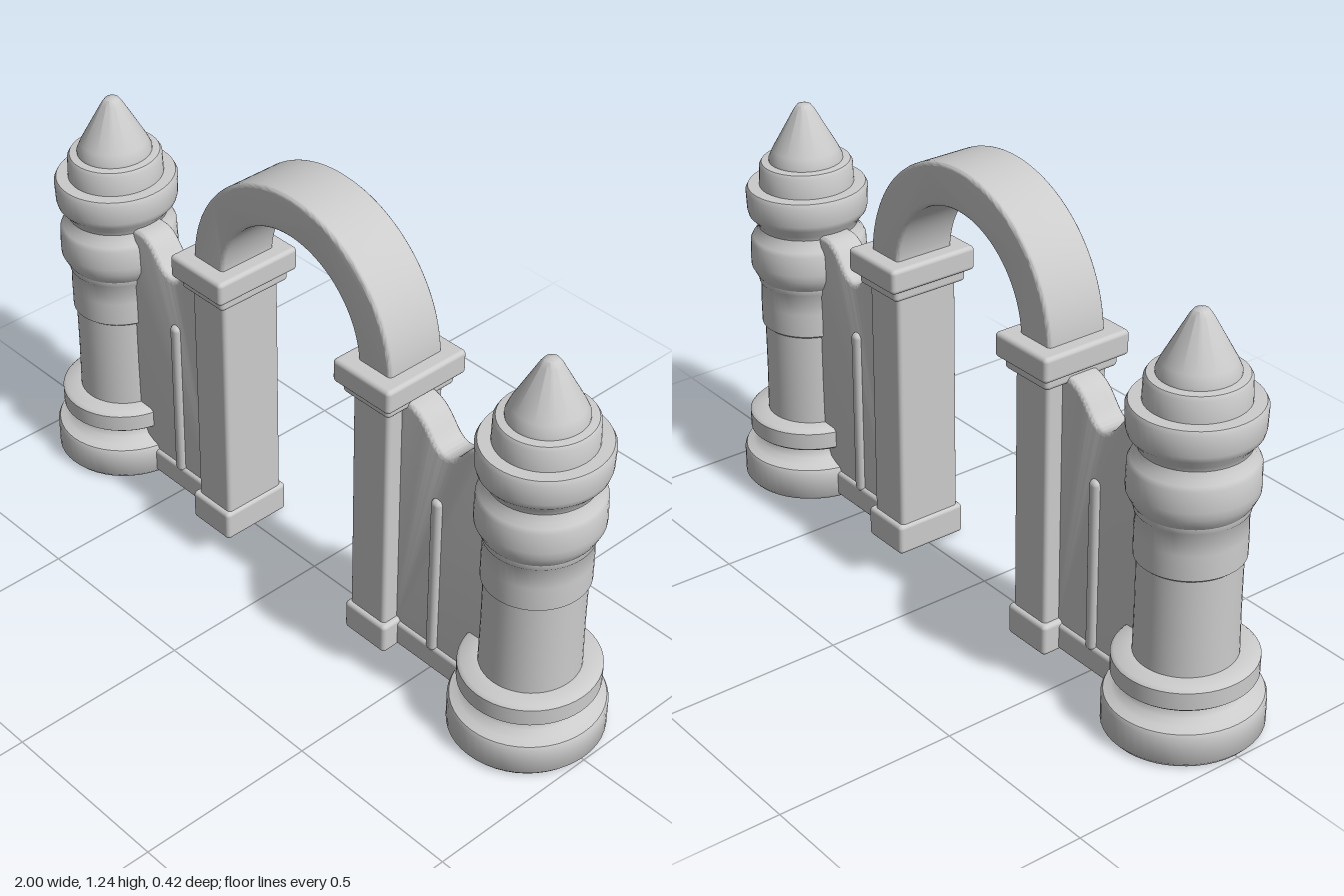
import * as THREE from 'three';
import { toCreasedNormals } from 'three/addons/utils/BufferGeometryUtils.js';
import { RoundedBoxGeometry } from 'three/addons/geometries/RoundedBoxGeometry.js';

const stone = new THREE.MeshStandardMaterial({ color: 0xcccccc, roughness: 0.9 });

function add(parent, name, geometry, x = 0, y = 0, z = 0) {
  const mesh = new THREE.Mesh(geometry, stone);
  mesh.name = name;
  mesh.position.set(x, y, z);
  parent.add(mesh);
  return mesh;
}

// Rounded block given by its centre x, bottom, top, width and depth
function block(parent, name, x, y0, y1, width, depth, radius = 0.012) {
  return add(parent, name, new RoundedBoxGeometry(width, y1 - y0, depth, 3, radius), x, (y0 + y1) / 2);
}

// Extrusion centred on z, with softened edges inside the given outline
function slab(shape, depth, bevel) {
  const geometry = new THREE.ExtrudeGeometry(shape, {
    depth: depth - 2 * bevel, bevelEnabled: true, bevelThickness: bevel,
    bevelSize: bevel, bevelOffset: -bevel, bevelSegments: 3, curveSegments: 40,
  });
  geometry.translate(0, 0, bevel - depth / 2);
  return toCreasedNormals(geometry, 0.6);
}

// Turned sections of a tower: [radius, height] from bottom to top
const towerSections = {
  towerBase: [[0, 0], [0.19, 0], [0.2, 0.012], [0.2, 0.085], [0.195, 0.096], [0.175, 0.103],
    [0.155, 0.115], [0.146, 0.135], [0.146, 0.15]],
  towerBaseRing: [[0.14, 0.15], [0.172, 0.15], [0.18, 0.157], [0.18, 0.205], [0.172, 0.213], [0.125, 0.215]],
  towerShaft: [[0.129, 0.21], [0.127, 0.35], [0.127, 0.485], [0.135, 0.492], [0.135, 0.56],
    [0.133, 0.615], [0.138, 0.622], [0.138, 0.64]],
  towerLowerCollar: [[0.138, 0.635], [0.145, 0.645], [0.157, 0.67], [0.158, 0.69], [0.156, 0.745],
    [0.15, 0.757], [0.14, 0.768], [0.133, 0.79]],
  towerUpperCollar: [[0.133, 0.785], [0.137, 0.8], [0.158, 0.825], [0.162, 0.84], [0.164, 0.895],
    [0.158, 0.907], [0.12, 0.908]],
  towerCrown: [[0.127, 0.9], [0.125, 0.965], [0.119, 0.975], [0.095, 0.978]],
  towerSpire: [[0.099, 0.97], [0.099, 0.985], [0.088, 1.01], [0.028, 1.122], [0.018, 1.136], [0, 1.14]],
};

function buildTower() {
  const tower = new THREE.Group();
  tower.name = 'tower';
  for (const [name, profile] of Object.entries(towerSections)) {
    const points = profile.map(([r, y]) => new THREE.Vector2(r, y));
    add(tower, name, toCreasedNormals(new THREE.LatheGeometry(points, 48), 0.75));
  }
  tower.position.x = 0.8;
  tower.scale.z = 1.05;
  return tower;
}

function buildPillar() {
  const pillar = new THREE.Group();
  pillar.name = 'gatePillar';
  block(pillar, 'pillarFoot', 0.311, 0.005, 0.095, 0.15, 0.215);
  block(pillar, 'pillarShaft', 0.308, 0.05, 0.82, 0.128, 0.19);
  block(pillar, 'pillarNeck', 0.309, 0.785, 0.84, 0.165, 0.23);
  block(pillar, 'pillarCap', 0.311, 0.818, 0.887, 0.2, 0.27);
  return pillar;
}

function buildWall() {
  const wall = new THREE.Group();
  wall.name = 'sideWall';
  // Panel whose top dips between tower and pillar
  const outline = new THREE.Shape();
  outline.moveTo(0.34, 0.01);
  outline.lineTo(0.75, 0.01);
  outline.lineTo(0.75, 0.8);
  outline.lineTo(0.65, 0.8);
  outline.bezierCurveTo(0.58, 0.795, 0.58, 0.715, 0.52, 0.712);
  outline.bezierCurveTo(0.47, 0.715, 0.47, 0.79, 0.39, 0.805);
  outline.lineTo(0.34, 0.805);
  add(wall, 'wallPanel', slab(outline, 0.095, 0.012));
  block(wall, 'wallPlinth', 0.52, 0.008, 0.085, 0.36, 0.115);
  // Upright rib showing on both faces
  block(wall, 'wallRib', 0.505, 0.07, 0.57, 0.034, 0.125, 0.015);
  return wall;
}

export function createModel() {
  const model = new THREE.Group();
  model.name = 'archedGateway';

  // The right side is the left side turned half way round
  for (const angle of [0, Math.PI]) {
    const side = new THREE.Group();
    side.name = angle ? 'rightSide' : 'leftSide';
    side.add(buildTower(), buildPillar(), buildWall());
    side.rotation.y = angle;
    model.add(side);
  }

  // Arch springing from the pillar caps
  const ring = new THREE.Shape();
  ring.moveTo(0.37, -0.02);
  ring.lineTo(0.37, 0);
  ring.absarc(0, 0, 0.37, 0, Math.PI, false);
  ring.lineTo(-0.37, -0.02);
  ring.lineTo(-0.25, -0.02);
  ring.lineTo(-0.25, 0);
  ring.absarc(0, 0, 0.255, Math.PI, 0, true);
  ring.lineTo(0.25, -0.02);
  add(model, 'arch', slab(ring, 0.178, 0.01), 0, 0.865);
  return model;
}
